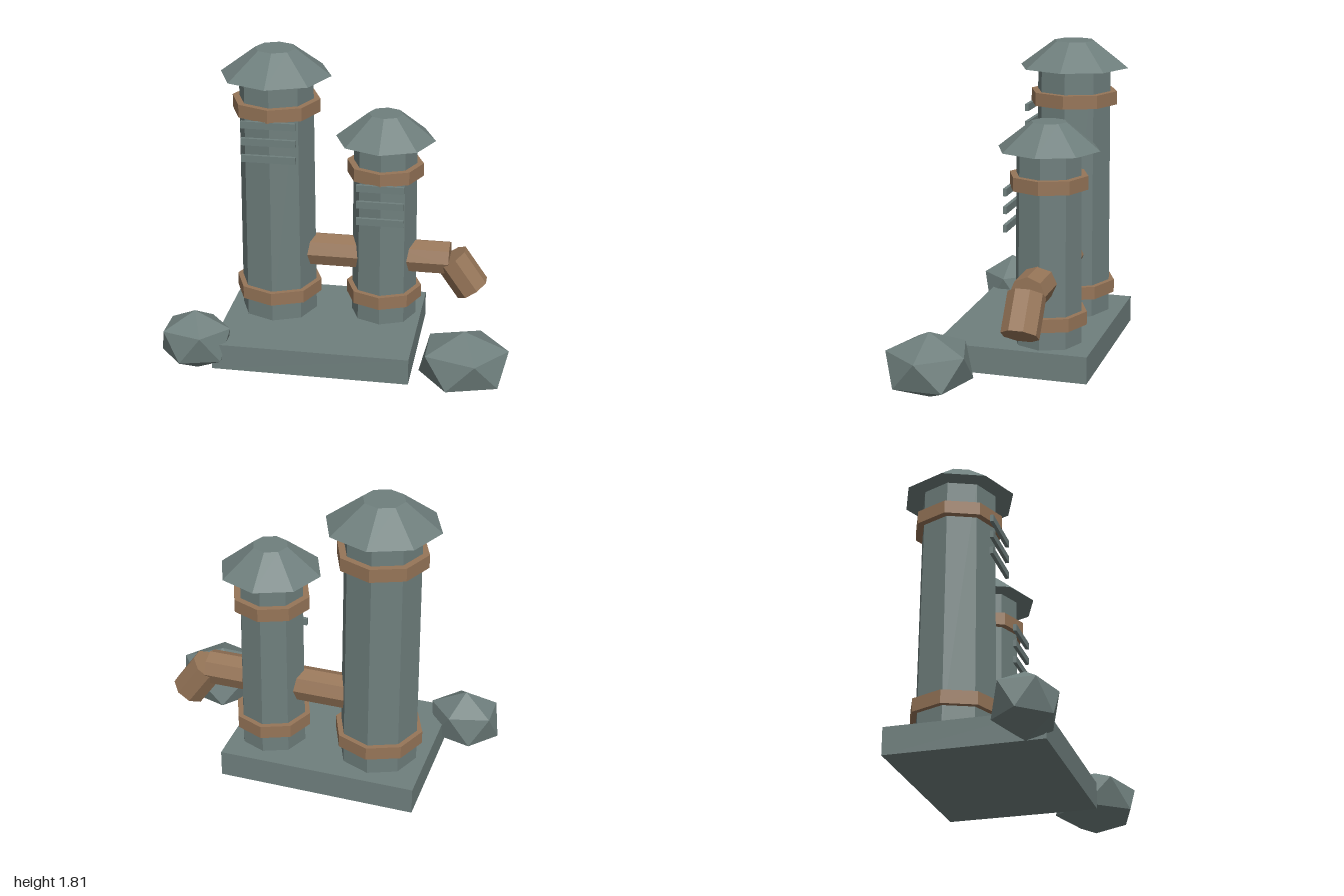
import * as THREE from 'three';

export function createModel() {
  const model = new THREE.Group();
  const stone = new THREE.MeshStandardMaterial({ color: 0x6f7f7d, flatShading: true });
  stone.name = 'grey stone';
  const copper = new THREE.MeshStandardMaterial({ color: 0x967558, flatShading: true });
  copper.name = 'copper brown';

  const add = (parent, name, geometry, material, x, y, z) => {
    const mesh = new THREE.Mesh(geometry, material);
    mesh.name = name;
    mesh.position.set(x, y, z);
    parent.add(mesh);
    return mesh;
  };
  // Octagonal drum between two heights
  const drum = (parent, name, material, rTop, rBottom, y0, y1) =>
    add(parent, name, new THREE.CylinderGeometry(rTop, rBottom, y1 - y0, 8), material, 0, (y0 + y1) / 2, 0);

  // Ground slab
  add(model, 'base', new THREE.BoxGeometry(1.135, 0.155, 0.87), stone, -0.122, 0.127, -0.065);

  // Chimneys: shaft, cap, bands and front vent slats
  const chimneys = [
    { name: 'tallChimney', x: -0.405, z: -0.2, rTop: 0.215, rBottom: 0.225, top: 1.66,
      capR: 0.319, capTop: 0.117, bandR: 0.255, bands: [0.355, 1.485], slatW: 0.31, slatZ: 0.24, slats: [1.43, 1.33, 1.23] },
    { name: 'shortChimney', x: 0.222, z: -0.222, rTop: 0.183, rBottom: 0.192, top: 1.3,
      capR: 0.287, capTop: 0.099, bandR: 0.222, bands: [0.353, 1.123], slatW: 0.272, slatZ: 0.211, slats: [1.07, 0.97, 0.867] },
  ];
  for (const c of chimneys) {
    const g = new THREE.Group();
    g.name = c.name;
    g.position.set(c.x, 0, c.z);
    drum(g, 'shaft', stone, c.rTop, c.rBottom, 0.18, c.top);
    drum(g, 'cap', stone, c.capTop, c.capR, c.top, c.top + 0.15);
    for (const y of c.bands) drum(g, 'band', copper, c.bandR, c.bandR, y - 0.038, y + 0.038);
    for (const y of c.slats) add(g, 'ventSlat', new THREE.BoxGeometry(c.slatW, 0.041, 0.02), stone, 0, y, c.slatZ);
    model.add(g);
  }

  // Connecting pipe and outlet pipe with a bent spout
  const pipe = (name, x0, x1) => {
    const m = add(model, name, new THREE.CylinderGeometry(0.1, 0.1, x1 - x0, 8), copper, (x0 + x1) / 2, 0.583, -0.212);
    m.rotation.z = Math.PI / 2;
  };
  pipe('connectingPipe', -0.28, 0.12);
  pipe('outletPipe', 0.3, 0.61);
  const spoutGeometry = new THREE.CylinderGeometry(0.105, 0.105, 0.23, 8);
  spoutGeometry.rotateY(Math.PI / 8);
  add(model, 'spout', spoutGeometry, copper, 0.683, 0.494, -0.212).rotation.z = 0.61;

  // Boulders: icosahedra tipped onto one point, then squashed
  const boulder = (name, x, z, sx, sy, sz) => {
    const geo = new THREE.IcosahedronGeometry(1, 0);
    geo.rotateZ(-0.5536);
    geo.scale(sx, sy, sz);
    add(model, name, geo, stone, x, 0.19, z);
  };
  boulder('rightBoulder', -0.798, 0.292, 0.227, 0.185, 0.188);
  boulder('leftBoulder', 0.747, 0.295, 0.281, 0.185, 0.261);

  return model;
}
